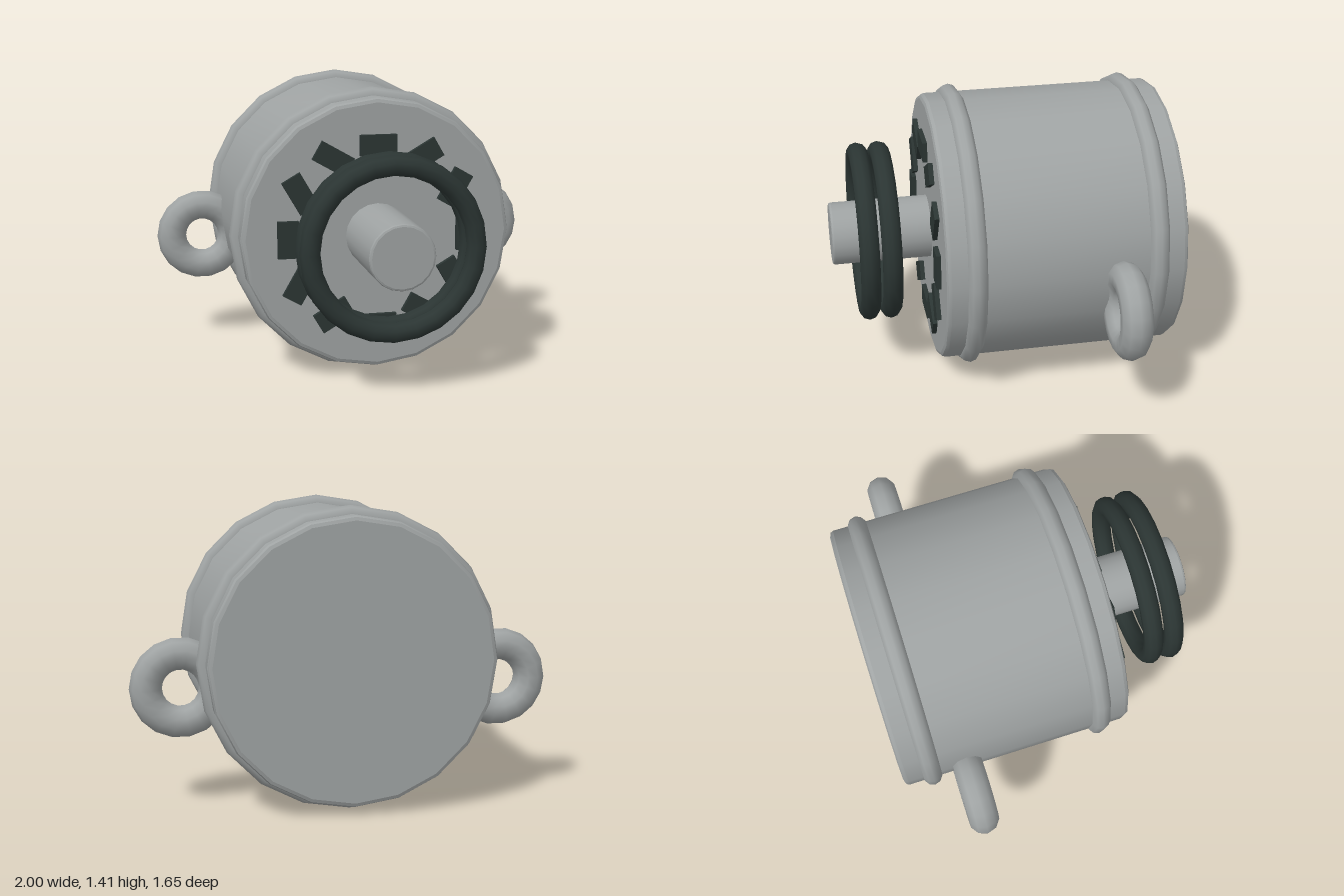
import * as THREE from 'three';
import { toCreasedNormals } from 'three/addons/utils/BufferGeometryUtils.js';

const AXIS_Y = 0.706;

export function createModel() {
  const model = new THREE.Group();
  model.name = 'motor';
  const steel = new THREE.MeshStandardMaterial({ name: 'steel grey', color: 0x9fa3a3 });
  const rubber = new THREE.MeshStandardMaterial({ name: 'dark rubber', color: 0x2b3533 });

  const add = (name, geometry, material, x, y, z) => {
    const mesh = new THREE.Mesh(geometry, material);
    mesh.name = name;
    mesh.position.set(x, y, z);
    model.add(mesh);
    return mesh;
  };

  // Solid cylinder along z with small rounded rims
  const drum = (radius, z0, z1, bevel, sides) => {
    const points = [new THREE.Vector2(0, z0)];
    for (let i = 0; i <= 2; i++) {
      const a = (i * Math.PI) / 4;
      points.push(new THREE.Vector2(radius - bevel + bevel * Math.sin(a), z0 + bevel - bevel * Math.cos(a)));
    }
    for (let i = 0; i <= 2; i++) {
      const a = (i * Math.PI) / 4;
      points.push(new THREE.Vector2(radius - bevel + bevel * Math.cos(a), z1 - bevel + bevel * Math.sin(a)));
    }
    points.push(new THREE.Vector2(0, z1));
    const g = new THREE.LatheGeometry(points, sides).rotateX(Math.PI / 2);
    return toCreasedNormals(g, 0.36);
  };

  // Housing and drive shaft
  add('housing', drum(0.667, -0.824, 0.335, 0.022, 20), steel, 0, AXIS_Y, 0);
  add('shaft', drum(0.157, 0.3, 0.825, 0.012, 20), steel, 0, AXIS_Y, 0);

  // Raised bands around the housing
  for (const z of [0.19, -0.68]) {
    add('housingBand', new THREE.TorusGeometry(0.657, 0.048, 10, 20), steel, 0, AXIS_Y, z);
  }

  // Pair of dark rings around the shaft
  for (const z of [0.663, 0.556]) {
    add('driveRing', new THREE.TorusGeometry(0.397, 0.049, 10, 24), rubber, 0, AXIS_Y, z);
  }

  // Vent plates on the front face, each turned against its place on the circle
  const vent = new THREE.BoxGeometry(0.18, 0.102, 0.023);
  for (let i = 0; i < 12; i++) {
    const a = (i * Math.PI) / 6;
    const plate = add('ventPlate', vent, rubber, 0.442 * Math.sin(a), AXIS_Y + 0.442 * Math.cos(a), 0.3505);
    plate.rotation.z = a;
  }

  // Side lifting loops
  for (const side of [1, -1]) {
    const name = side > 0 ? 'leftLoop' : 'rightLoop';
    add(name, new THREE.TorusGeometry(0.161, 0.076, 10, 18), steel, side * 0.763, 0.565, -0.502);
  }
  return model;
}
